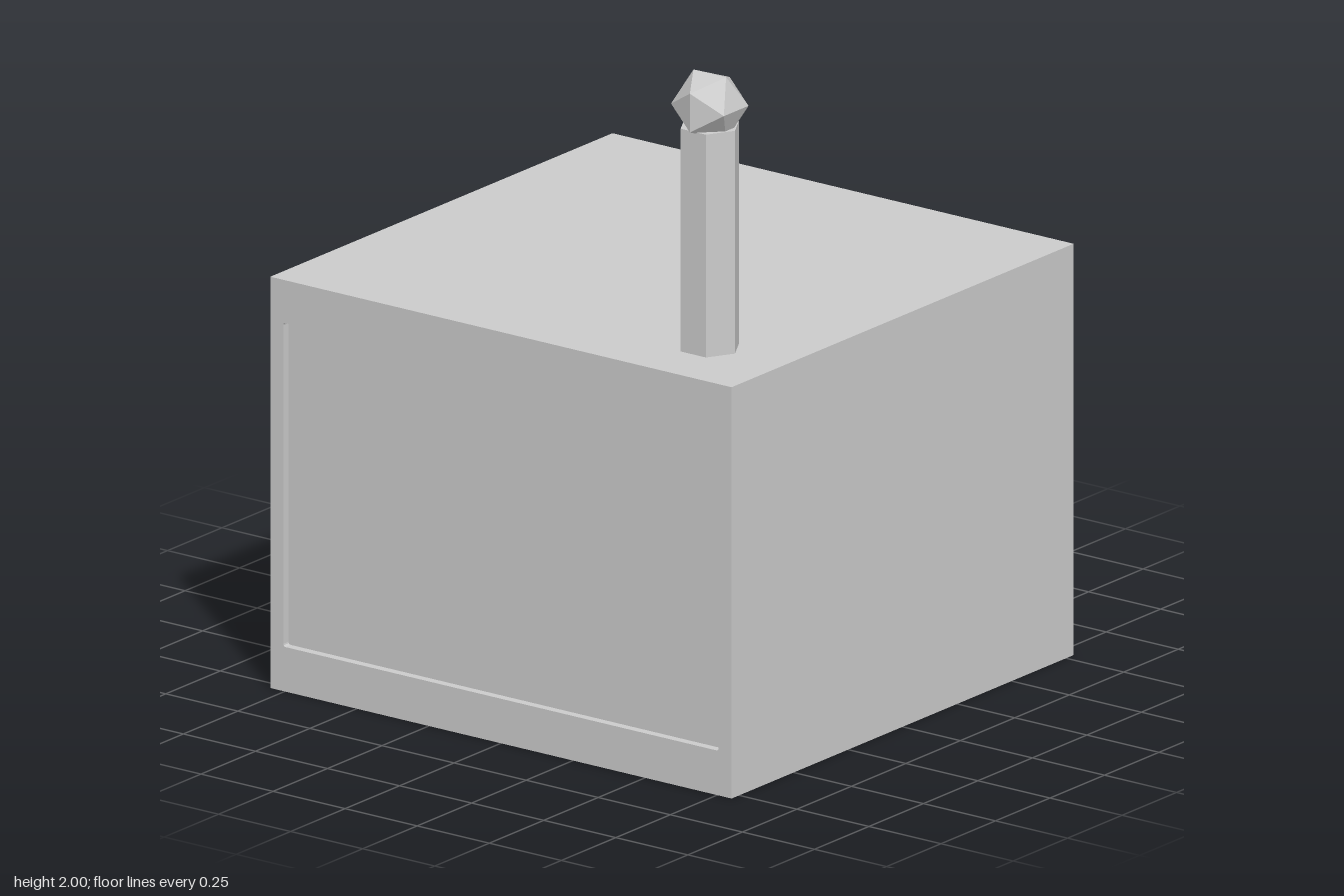
import * as THREE from 'three';

const WIDTH = 1.6, HEIGHT = 1.2, DEPTH = 1.57, RECESS = 0.024;
const ROD = { x: 0.543, z: 0.545, radius: 0.0875, bottom: 1.2, top: 1.85 };

// Rectangle with slightly softened corners, used for the opening and its panels
function softRect(Type, x0, y0, x1, y1, r) {
  const s = new Type();
  s.moveTo(x0 + r, y0);
  s.lineTo(x1 - r, y0);
  s.quadraticCurveTo(x1, y0, x1, y0 + r);
  s.lineTo(x1, y1 - r);
  s.quadraticCurveTo(x1, y1, x1 - r, y1);
  s.lineTo(x0 + r, y1);
  s.quadraticCurveTo(x0, y1, x0, y1 - r);
  s.lineTo(x0, y0 + r);
  s.quadraticCurveTo(x0, y0, x0 + r, y0);
  return s;
}

export function createModel() {
  const model = new THREE.Group();
  model.name = 'boxWithLever';

  const grey = new THREE.MeshStandardMaterial({ color: 0xcccccc });
  grey.name = 'light grey';
  grey.flatShading = true;

  const add = (name, geometry, x = 0, y = 0, z = 0) => {
    const mesh = new THREE.Mesh(geometry, grey);
    mesh.name = name;
    mesh.position.set(x, y, z);
    model.add(mesh);
    return mesh;
  };

  // Casing: one shell, open at front and back
  const opening = [-0.755, 0.13, 0.755, 1.075, 0.008];
  const outline = new THREE.Shape();
  outline.moveTo(-WIDTH / 2, 0);
  outline.lineTo(WIDTH / 2, 0);
  outline.lineTo(WIDTH / 2, HEIGHT);
  outline.lineTo(-WIDTH / 2, HEIGHT);
  outline.closePath();
  outline.holes.push(softRect(THREE.Path, ...opening));
  const casing = new THREE.ExtrudeGeometry(outline, { depth: DEPTH, bevelEnabled: false, curveSegments: 3 });
  add('casing', casing, 0, 0, -DEPTH / 2);

  // Recessed panels closing the openings
  const panel = new THREE.ShapeGeometry(softRect(THREE.Shape, ...opening), 3);
  add('frontPanel', panel, 0, 0, DEPTH / 2 - RECESS);
  add('backPanel', panel, 0, 0, -DEPTH / 2 + RECESS).rotation.y = Math.PI;

  // Hexagonal rod with two corners pointing along x
  const length = ROD.top - ROD.bottom;
  const rod = new THREE.CylinderGeometry(ROD.radius, ROD.radius, length, 6, 1, false, Math.PI / 6);
  add('rod', rod, ROD.x, ROD.bottom + length / 2, ROD.z);

  // Faceted knob sunk into the rod end
  add('knob', new THREE.IcosahedronGeometry(0.1076, 0), ROD.x, 1.9085, ROD.z);

  return model;
}
